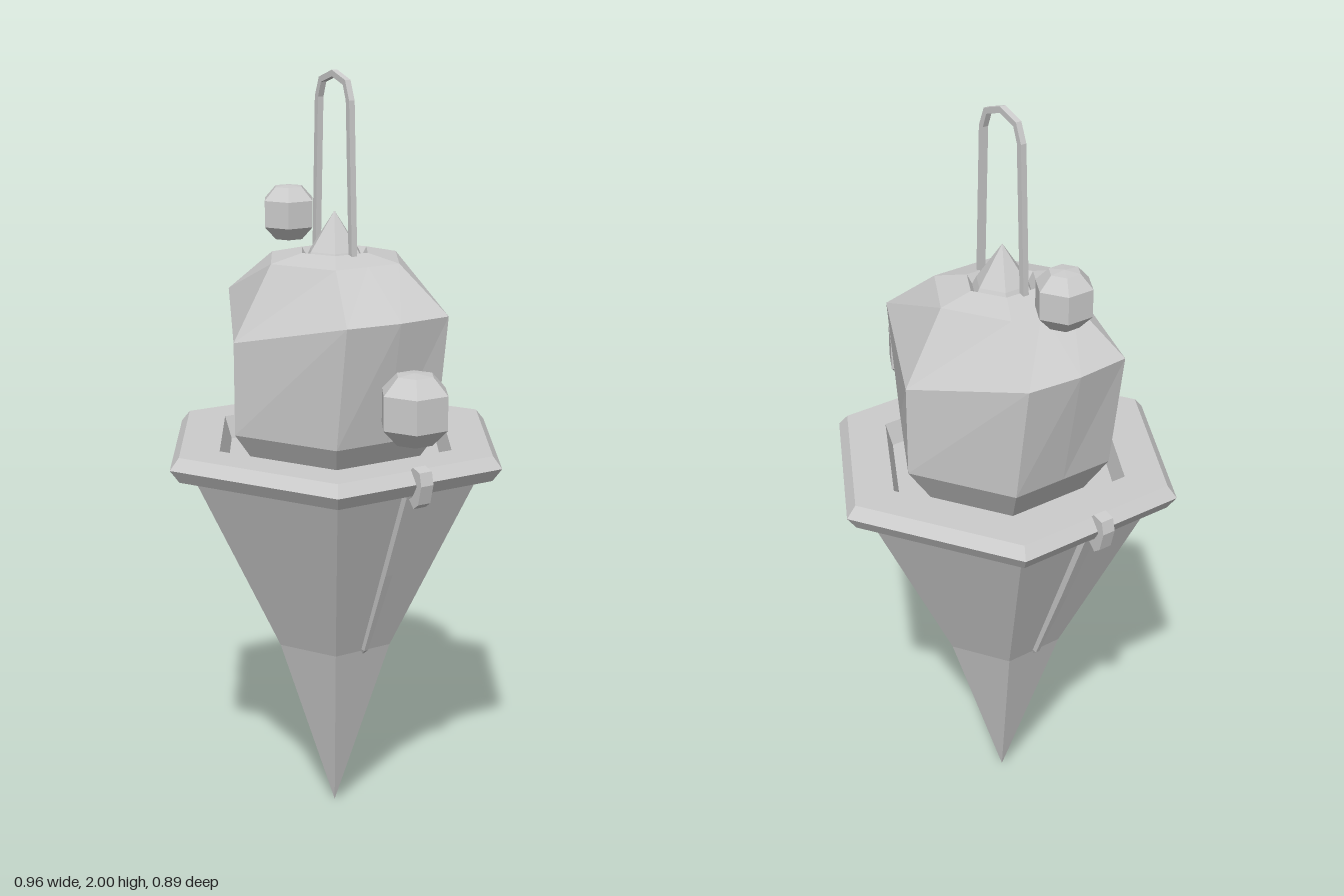
import * as THREE from 'three';

const mat = new THREE.MeshStandardMaterial({ color: 0xcccccc, flatShading: true, side: THREE.DoubleSide });

function add(parent, name, geometry, x = 0, y = 0, z = 0) {
  const mesh = new THREE.Mesh(geometry, mat);
  mesh.name = name;
  mesh.position.set(x, y, z);
  parent.add(mesh);
  return mesh;
}

// Six-sided turned shape with corners on the x axis
function hexLathe(profile) {
  return new THREE.LatheGeometry(profile.map(([r, y]) => new THREE.Vector2(r, y)), 6, Math.PI / 2);
}

// Skin over closed rings, listed bottom to top, each counter-clockwise from above
function loft(rings) {
  const n = rings[0].length;
  const index = [];
  for (let i = 0; i < rings.length - 1; i++) {
    for (let j = 0; j < n; j++) {
      const a = i * n + j, b = i * n + (j + 1) % n;
      index.push(a, b, b + n, a, b + n, a + n);
    }
  }
  const g = new THREE.BufferGeometry();
  g.setAttribute('position', new THREE.Float32BufferAttribute(rings.flat(2), 3));
  g.setIndex(index);
  g.computeVertexNormals();
  return g;
}

// Hexagon ring with an extra point mid-way along its front and back sides;
// lift and push raise those sides and move them outward
function scoopRing(r, y, lift = 0, push = 0) {
  return [0, 60, 90, 120, 180, 240, 270, 300].map((deg) => {
    const a = THREE.MathUtils.degToRad(deg);
    const mid = deg % 180 === 90;
    const side = deg % 180 === 0;
    const s = Math.sign(Math.round(Math.sin(a) * 10));
    const depth = side ? 0 : r * 0.866 + push + (mid && push ? 0.012 : 0);
    return [mid ? 0 : r * Math.cos(a), y + (side ? 0 : lift), -s * depth];
  });
}

// Hook over the rim with a tapered tongue lying along the cone
function makeClip() {
  const clip = new THREE.Group();
  const shape = new THREE.Shape([
    [0.385, 1.06], [0.4, 1.075], [0.43, 1.068], [0.438, 1.035], [0.425, 0.985],
    [0.405, 0.97], [0.385, 0.99], [0.4, 1.0], [0.418, 1.03], [0.39, 1.062],
  ].map(([z, y]) => new THREE.Vector2(z, y)));
  const hook = new THREE.ExtrudeGeometry(shape, { depth: 0.036, bevelEnabled: false });
  hook.translate(0, 0, -0.018);
  hook.rotateY(-Math.PI / 2);
  add(clip, 'hook', hook);
  const section = (w, y, back, front) => [[w, y, front], [w, y, back], [-w, y, back], [-w, y, front]];
  add(clip, 'tongue', loft([
    section(0.001, 0.49, 0.14, 0.145),
    section(0.006, 0.505, 0.14, 0.162),
    section(0.011, 0.75, 0.24, 0.27),
    section(0.016, 0.99, 0.34, 0.372),
  ]));
  return clip;
}

// Small faceted ball
function ball(r) {
  return hexLathe([[0, -1], [0.55, -0.95], [1, -0.48], [1, 0.48], [0.55, 0.95], [0, 1]]
    .map(([x, y]) => [x * r, y * r]));
}

export function createModel() {
  const model = new THREE.Group();
  model.name = 'scoopAndCone';
  const body = new THREE.Group();
  body.name = 'body';
  body.position.z = -0.008;
  model.add(body);

  // Pointed cone and the broad bevelled rim with its recessed floor
  add(body, 'cone', hexLathe([[0, 0], [0.168, 0.5], [0.412, 1.0]]));
  add(body, 'rim', hexLathe([
    [0.412, 1.0], [0.455, 1.0], [0.481, 1.035], [0.455, 1.065], [0.34, 1.065], [0.32, 1.005], [0, 1.005],
  ]));

  // Scoop, ending in a small hexagonal hollow
  add(body, 'scoop', loft([
    scoopRing(0.225, 1.0),
    scoopRing(0.295, 1.1),
    scoopRing(0.295, 1.34, 0.075, 0.048),
    scoopRing(0.186, 1.53),
    scoopRing(0.096, 1.55),
    scoopRing(0.08, 1.525),
    scoopRing(0, 1.525),
  ]));
  add(body, 'peak', hexLathe([[0.083, 1.525], [0.07, 1.55], [0, 1.65]]));

  // Thin hanging loop, square in section
  const path = [[0.09, 1.53], [0.075, 1.93], [0.058, 1.973], [0, 1.992],
    [-0.058, 1.973], [-0.075, 1.93], [-0.09, 1.53]];
  const t = 0.008;
  add(body, 'hangingLoop', loft(path.map(([z, y], i) => {
    const p = path[Math.max(i - 1, 0)], q = path[Math.min(i + 1, path.length - 1)];
    const len = Math.hypot(q[0] - p[0], q[1] - p[1]);
    const nz = -(q[1] - p[1]) / len * t, ny = (q[0] - p[0]) / len * t;
    return [[t, y - ny, z - nz], [t, y + ny, z + nz], [-t, y + ny, z + nz], [-t, y - ny, z - nz]];
  })));

  // Front and back clips
  for (const [name, turn] of [['frontClip', 0], ['backClip', Math.PI]]) {
    const clip = makeClip();
    clip.name = name;
    clip.rotation.y = turn;
    body.add(clip);
  }

  // Floating balls
  add(body, 'frontBall', ball(0.09), 0, 1.215, 0.378);
  add(body, 'backBall', ball(0.073), 0.017, 1.61, -0.265);

  return model;
}
